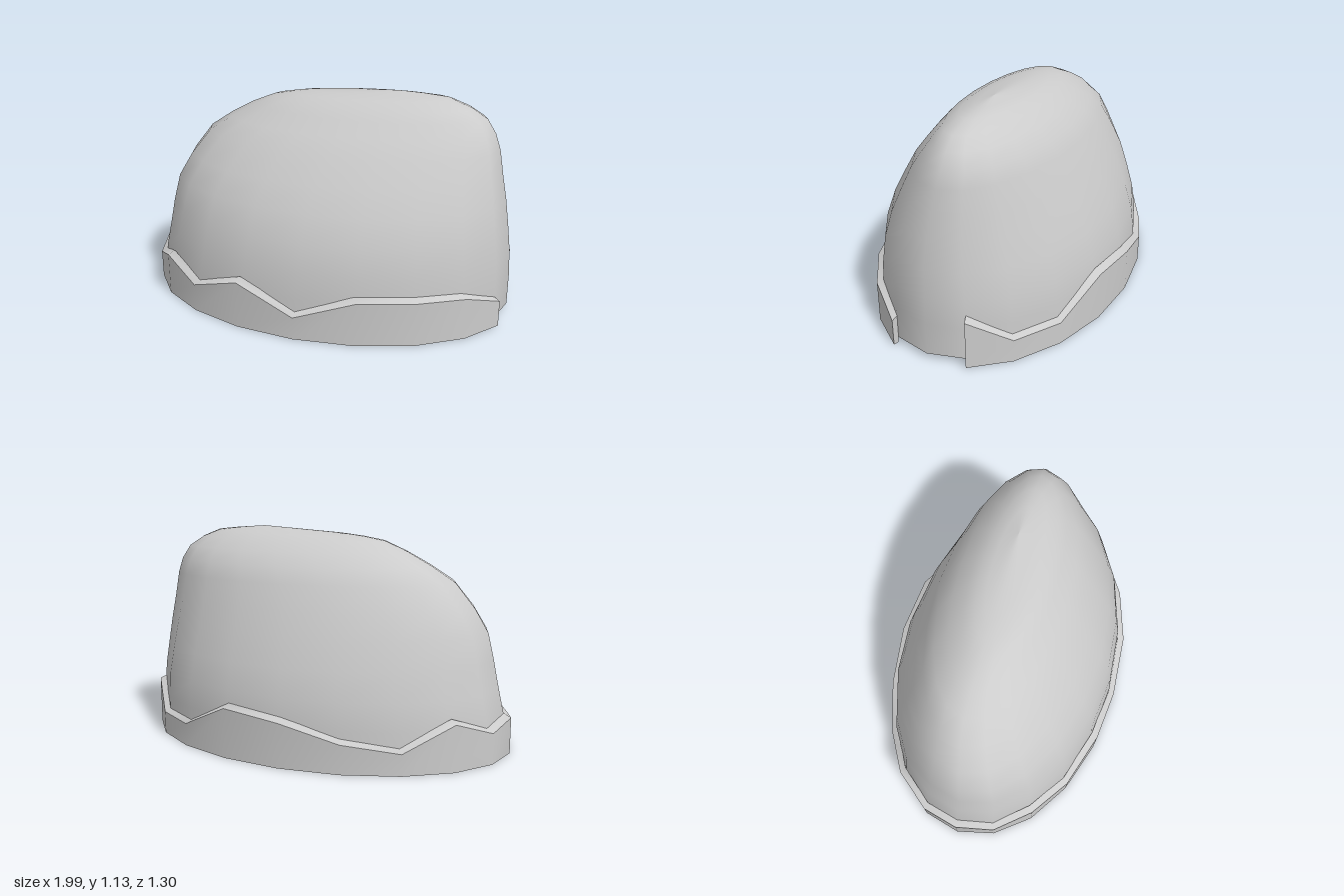
import * as THREE from 'three';
import { mergeGeometries } from 'three/addons/utils/BufferGeometryUtils.js';

const SIDES = 20;
const material = new THREE.MeshStandardMaterial({ color: 0xcccccc, side: THREE.DoubleSide });

// Smooth surface joining two or more rows of points, listed from low to high
function loft(rows, closed) {
  const n = rows[0].length, index = [];
  for (let k = 0; k < rows.length - 1; k++) {
    for (let i = 0; i < (closed ? n : n - 1); i++) {
      const p = k * n + i, p1 = k * n + (i + 1) % n;
      index.push(p, p + n, p1, p + n, p1 + n, p1);
    }
  }
  const g = new THREE.BufferGeometry();
  g.setAttribute('position', new THREE.Float32BufferAttribute(rows.flat(2), 3));
  g.setIndex(index);
  g.computeVertexNormals();
  return g;
}

// Dome: elliptical rings given as height, x min, x max, z min, z max
function makeDome() {
  const rings = [
    [0.03, -0.97, 0.99, -0.62, 0.62],
    [0.20, -0.962, 0.99, -0.615, 0.615],
    [0.34, -0.93, 0.983, -0.6, 0.6],
    [0.48, -0.9, 0.966, -0.56, 0.57],
    [0.62, -0.868, 0.945, -0.51, 0.51],
    [0.74, -0.8, 0.92, -0.46, 0.435],
    [0.87, -0.7, 0.895, -0.405, 0.345],
    [0.95, -0.58, 0.865, -0.36, 0.27],
    [1.02, -0.45, 0.82, -0.295, 0.2],
    [1.07, -0.33, 0.745, -0.23, 0.15],
    [1.1, -0.22, 0.64, -0.18, 0.09],
    [1.113, -0.12, 0.52, -0.13, 0.03],
    [1.135, 0.36, 0.36, -0.05, -0.05],
  ];
  const rows = rings.map(([y, x0, x1, z0, z1], k) => {
    const tilt = k === 10 || k === 11 ? 0.01 : 0; // crown rises toward +x
    return Array.from({ length: SIDES }, (_, i) => {
      const a = i / SIDES * Math.PI * 2, c = Math.cos(a), s = Math.sin(a);
      return [(x0 + x1) / 2 + c * (x1 - x0) / 2, y + tilt * c, (z0 + z1) / 2 + s * (z1 - z0) / 2];
    });
  });
  return loft(rows, true);
}

// Band: a jagged-topped strip around the base, left open at the +x end
function makeBand() {
  const heights = [0.14, 0.22, 0.23, 0.23, 0.12, 0.25, 0.15, 0.23, 0.15, 0.19,
    0.16, 0.24, 0.11, 0.15, 0.23, 0.26, 0.12, 0.12, 0.255];
  const row = (rx, rz, yOf) => heights.map((h, i) => {
    const a = (i + 1) / SIDES * Math.PI * 2;
    return [0.01 + rx * Math.cos(a), yOf(h), rz * Math.sin(a)];
  });
  const section = [
    row(1.01, 0.65, () => 0),
    row(1.01, 0.65, h => h),
    row(0.972, 0.612, h => h + 0.02),
    row(0.982, 0.622, () => 0),
  ];
  const faces = section.map((r, k) => loft([r, section[(k + 1) % 4]], false));
  // Closing faces at both ends of the strip
  const last = heights.length - 1;
  const [a, b, c, d] = section.map(r => r[0]);
  const [e, f, g, h] = section.map(r => r[last]);
  faces.push(loft([[a, b], [d, c]], false), loft([[e, h], [f, g]], false));
  return mergeGeometries(faces);
}

export function createModel() {
  const model = new THREE.Group();
  for (const [name, geometry] of [['dome', makeDome()], ['jaggedBand', makeBand()]]) {
    const mesh = new THREE.Mesh(geometry, material);
    mesh.name = name;
    model.add(mesh);
  }
  return model;
}
